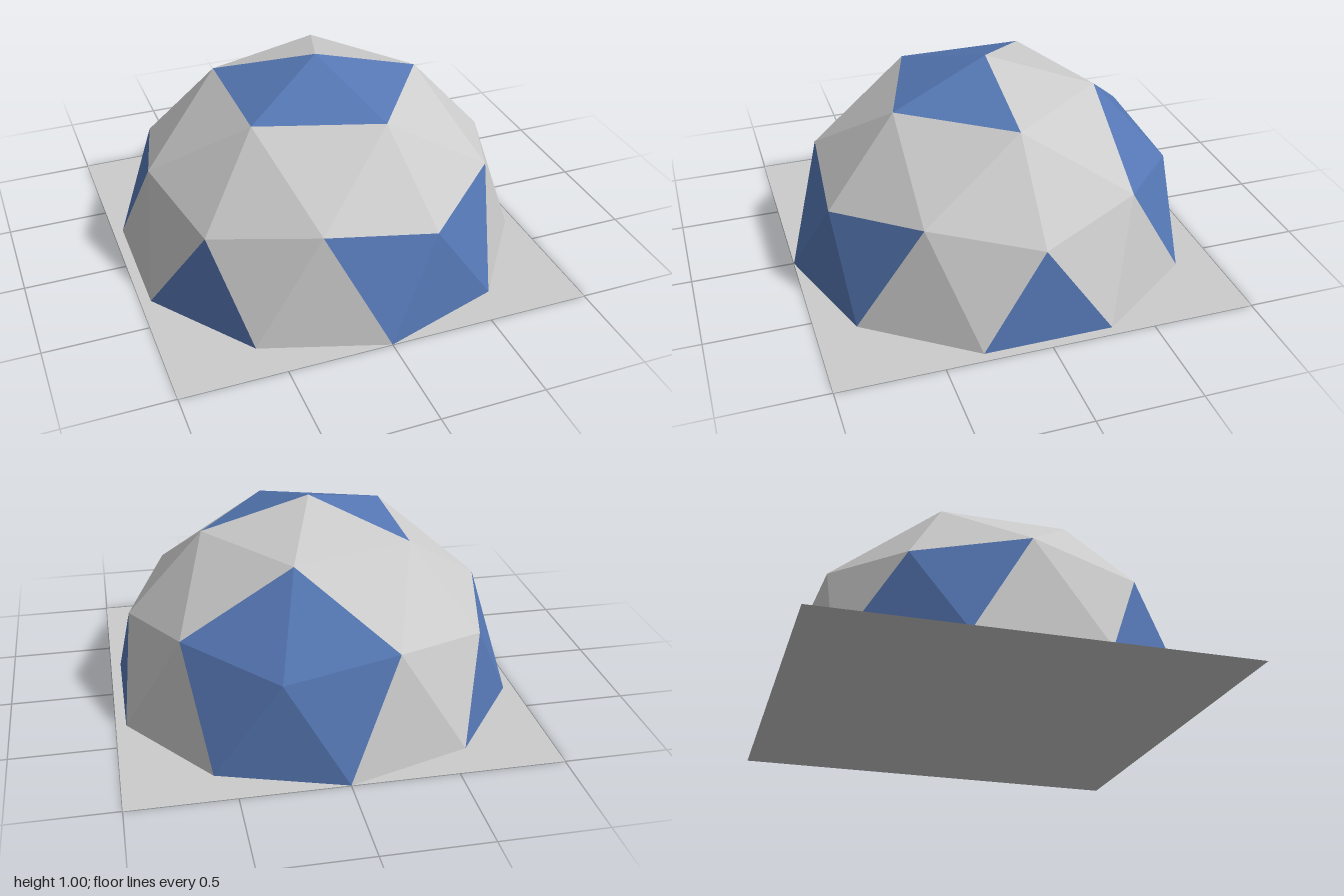
import * as THREE from 'three';

// Which panels of each fifth of the dome are blue (index into sectorPanels)
const BLUE_PANELS = [[0, 4, 7], [0, 4, 5], [0, 4, 7], [3, 4, 7], [1, 4, 5]];

// Point on the unit dome at a given height and compass angle
function domePoint(height, degrees) {
  const r = Math.sqrt(1 - height * height);
  const a = THREE.MathUtils.degToRad(degrees);
  return new THREE.Vector3(r * Math.cos(a), height, r * Math.sin(a));
}

// The eight triangles of one fifth of the dome, top to bottom
function sectorPanels(k) {
  const a = 72 * k;
  const apex = domePoint(1, 0);
  const crown = domePoint(0.8507, a), crownNext = domePoint(0.8507, a + 72);
  const hub = domePoint(0.4472, a), hubNext = domePoint(0.4472, a + 72);
  const mid = domePoint(0.5257, a + 36);
  const foot0 = domePoint(0, a - 18), foot1 = domePoint(0, a + 18), foot2 = domePoint(0, a + 54);
  return [
    [apex, crownNext, crown],
    [crown, mid, hub],
    [crown, crownNext, mid],
    [crownNext, hubNext, mid],
    [hub, foot1, foot0],
    [hub, mid, foot1],
    [mid, foot2, foot1],
    [mid, hubNext, foot2],
  ];
}

function panelMesh(name, points, color) {
  const geometry = new THREE.BufferGeometry().setFromPoints(points);
  geometry.computeVertexNormals();
  const material = new THREE.MeshStandardMaterial({ color, flatShading: true, side: THREE.DoubleSide });
  const mesh = new THREE.Mesh(geometry, material);
  mesh.name = name;
  return mesh;
}

export function createModel() {
  const model = new THREE.Group();
  model.name = 'geodesicDome';

  // Dome shell, sorted into grey and blue panels
  const grey = [], blue = [];
  for (let k = 0; k < 5; k++) {
    sectorPanels(k).forEach((triangle, i) => {
      (BLUE_PANELS[k].includes(i) ? blue : grey).push(...triangle);
    });
  }
  model.add(panelMesh('greyPanels', grey, 0xcccccc));
  model.add(panelMesh('bluePanels', blue, 0x5577b4));

  // Square ground sheet
  const floor = new THREE.Mesh(
    new THREE.PlaneGeometry(2, 2).rotateX(-Math.PI / 2),
    new THREE.MeshStandardMaterial({ color: 0xcccccc, side: THREE.DoubleSide })
  );
  floor.name = 'floor';
  model.add(floor);

  return model;
}
